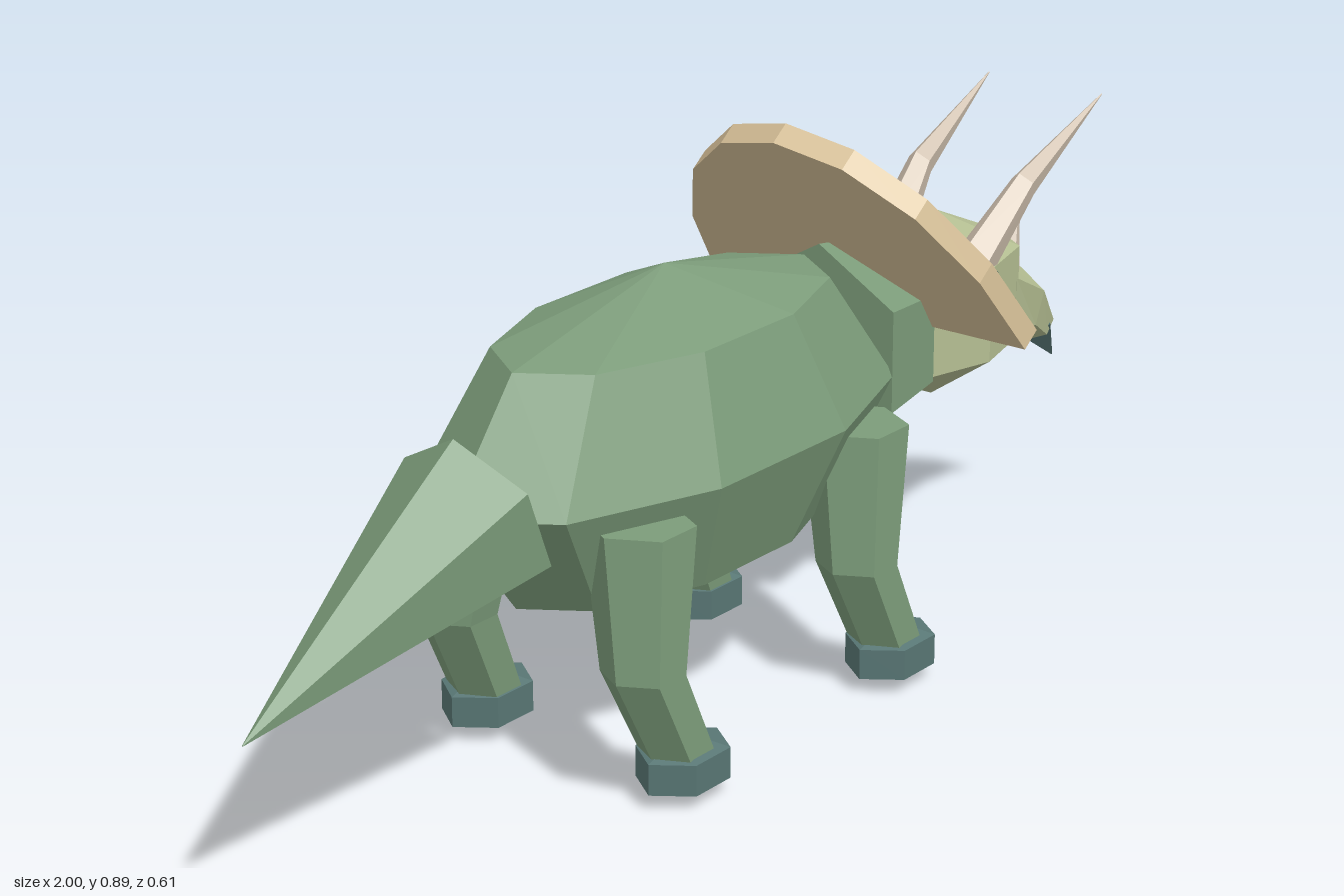
import * as THREE from 'three';

const mat = (name, color) => {
  const m = new THREE.MeshStandardMaterial({ color, flatShading: true });
  m.name = name;
  return m;
};

// Faceted copy of a geometry
function facet(geo) {
  const g = geo.index ? geo.toNonIndexed() : geo;
  g.computeVertexNormals();
  return g;
}

// Loft through sections [x, y, z, heading angle in the xy plane, in-plane radius, z radius]
function loft(sections, n) {
  const pos = [], idx = [];
  for (const [x, y, z, a, ru, rv] of sections) {
    for (let j = 0; j < n; j++) {
      const t = (j / n) * Math.PI * 2;
      const u = Math.cos(t) * ru, v = Math.sin(t) * rv;
      pos.push(x - Math.sin(a) * u, y + Math.cos(a) * u, z + v);
    }
  }
  const last = sections.length - 1;
  for (let i = 0; i < last; i++) {
    for (let j = 0; j < n; j++) {
      const a = i * n + j, b = i * n + ((j + 1) % n);
      idx.push(a, b, b + n, a, b + n, a + n);
    }
  }
  for (let j = 1; j < n - 1; j++) {
    idx.push(0, j + 1, j, last * n, last * n + j, last * n + j + 1);
  }
  const g = new THREE.BufferGeometry();
  g.setAttribute('position', new THREE.Float32BufferAttribute(pos, 3));
  g.setIndex(idx);
  return facet(g);
}

// Low-poly ellipsoid
function blob(x, y, z, rx, ry, rz, w, h) {
  return facet(new THREE.SphereGeometry(1, w, h).scale(rx, ry, rz).translate(x, y, z));
}

export function createModel() {
  const model = new THREE.Group();
  model.name = 'hornedDinosaur';
  const skin = mat('skin green', 0x7c9c7a);
  const face = mat('face olive', 0xb4be92);
  const bone = mat('horn ivory', 0xcfc0ae);
  const shield = mat('frill tan', 0xd4be96);
  const slate = mat('hoof slate', 0x587674);
  const dark = mat('eye dark', 0x2c4848);

  const add = (name, geo, material) => {
    const mesh = new THREE.Mesh(geo, material);
    mesh.name = name;
    model.add(mesh);
  };

  // Trunk, neck and tail
  add('body', blob(-0.08, 0.48, 0, 0.495, 0.26, 0.24, 10, 4), skin);
  add('neck', loft([[0.31, 0.503, 0, 0, 0.168, 0.168], [0.45, 0.503, 0, 0, 0.147, 0.147]], 6), skin);
  const tailAngle = Math.PI + 0.37;
  add('tail', loft([
    [-0.51, 0.475, 0, tailAngle, 0.135, 0.135],
    [-0.999, 0.286, 0, tailAngle, 0.001, 0.001],
  ], 6), skin);

  // Legs and feet
  for (const [end, dx] of [['front', 0.53], ['back', 0]]) {
    for (const [side, s] of [['Left', 1], ['Right', -1]]) {
      const down = -Math.PI / 2;
      add(`${end}${side}Leg`, loft([
        [-0.34 + dx, 0.445, s * 0.16, down, 0.08, 0.087],
        [-0.36 + dx, 0.22, s * 0.182, down, 0.062, 0.065],
        [-0.28 + dx, 0.05, s * 0.19, down, 0.056, 0.058],
      ], 6), skin);
      add(`${end}${side}Foot`, blob(-0.28 + dx, 0.05, s * 0.193, 0.095, 0.05, 0.077, 6, 3), slate);
    }
  }

  // Frill: a tilted half-ellipse plate
  const outline = new THREE.Shape();
  for (let i = 0; i <= 8; i++) {
    const t = (i / 8) * Math.PI;
    const p = [0.305 * Math.cos(t), 0.425 * Math.sin(t)];
    if (i) outline.lineTo(...p); else outline.moveTo(...p);
  }
  const frill = new THREE.ExtrudeGeometry(outline, { depth: 0.04, bevelEnabled: false });
  const tilt = new THREE.Matrix4().makeBasis(
    new THREE.Vector3(0, 0, -1), new THREE.Vector3(-0.6, 0.8, 0), new THREE.Vector3(0.8, 0.6, 0));
  frill.applyMatrix4(tilt).translate(0.443, 0.524, 0);
  add('frill', facet(frill), shield);

  // Head, snout and beak
  add('head', blob(0.63, 0.49, 0, 0.214, 0.16, 0.133, 8, 3), face);
  add('snout', loft([
    [0.75, 0.47, 0, 0, 0.095, 0.098],
    [0.87, 0.427, 0, -0.4, 0.06, 0.064],
    [0.945, 0.367, 0, -0.7, 0.03, 0.034],
  ], 6), face);
  add('beak', loft([
    [0.935, 0.376, 0, -0.8, 0.036, 0.036],
    [0.999, 0.296, 0, -0.9, 0.001, 0.001],
  ], 4), slate);

  // Horns and eyes
  add('noseHorn', loft([
    [0.835, 0.5, 0, 1.2, 0.032, 0.032],
    [0.88, 0.625, 0, 1.2, 0.001, 0.001],
  ], 5), bone);
  for (const [side, s] of [['left', 1], ['right', -1]]) {
    add(`${side}BrowHorn`, loft([
      [0.615, 0.575, s * 0.086, 0.8, 0.04, 0.036],
      [0.735, 0.687, s * 0.103, 0.6, 0.026, 0.022],
      [0.948, 0.795, s * 0.113, 0.45, 0.001, 0.001],
    ], 5), bone);
    add(`${side}Eye`, blob(0.632, 0.556, s * 0.114, 0.014, 0.014, 0.01, 8, 6), dark);
  }
  return model;
}
